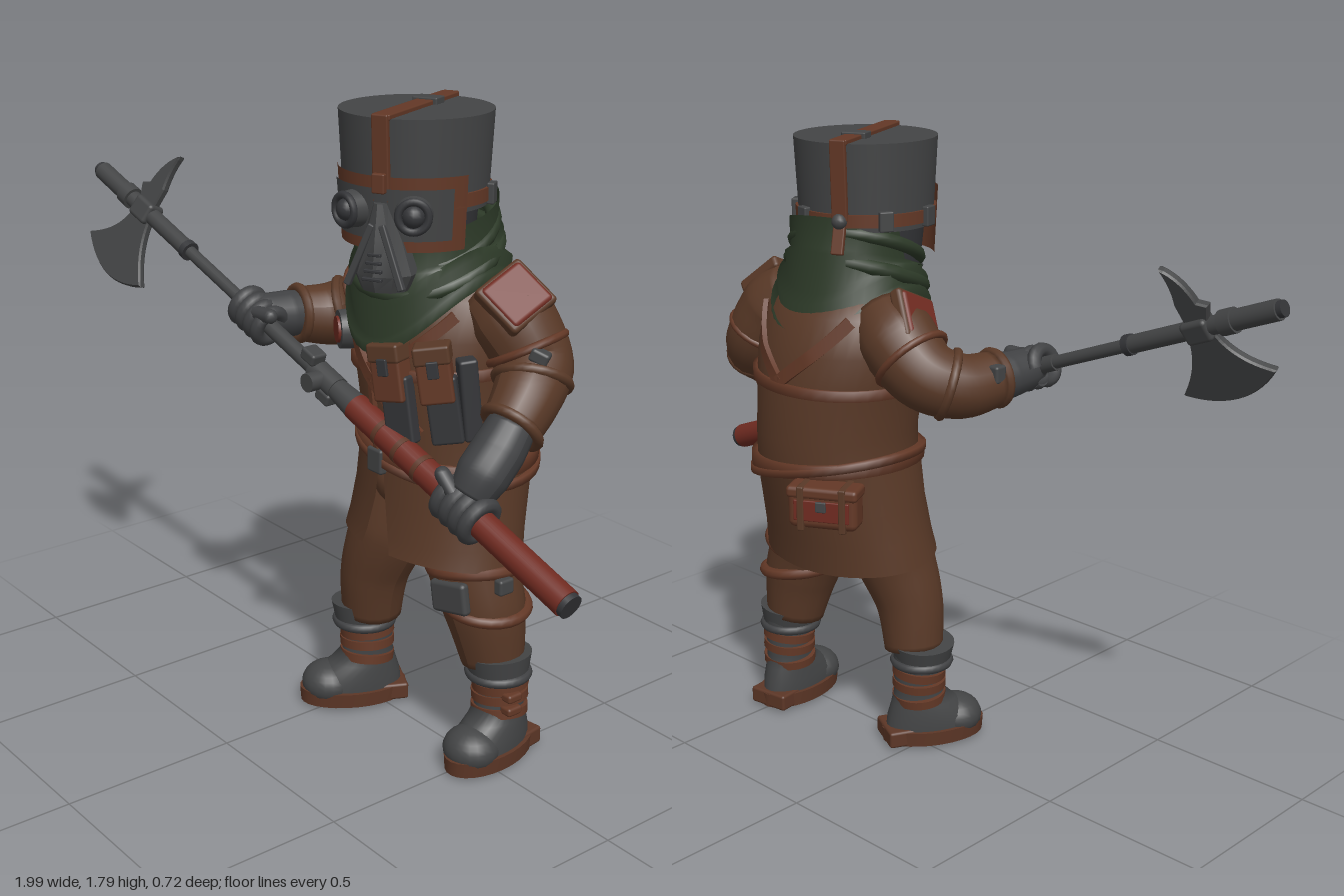
import * as THREE from 'three';
import { toCreasedNormals } from 'three/addons/utils/BufferGeometryUtils.js';
import { RoundedBoxGeometry } from 'three/addons/geometries/RoundedBoxGeometry.js';

const PI = Math.PI;
const V = (x, y, z) => new THREE.Vector3(x, y, z);
const paint = (name, color) => Object.assign(new THREE.MeshStandardMaterial({ color, side: THREE.DoubleSide }), { name });
const coat = paint('coat brown', 0x593927), leather = paint('leather', 0x633826), red = paint('faded red', 0x702b21);
const steel = paint('steel', 0x434445), dark = paint('dark steel', 0x343538), glove = paint('glove grey', 0x404143);
const green = paint('scarf green', 0x2d3a28), sole = paint('sole brown', 0x5c3626);

function add(parent, name, geo, mat, pos = [0, 0, 0], rot = [0, 0, 0]) {
  const m = new THREE.Mesh(geo, mat);
  m.name = name;
  m.position.set(...pos);
  m.rotation.set(...rot);
  parent.add(m);
  return m;
}
function group(parent, name, pos = [0, 0, 0], rot = [0, 0, 0]) {
  const g = new THREE.Group();
  g.name = name;
  g.position.set(...pos);
  g.rotation.set(...rot);
  parent.add(g);
  return g;
}
const box = (w, h, d, r = 0.008) => new RoundedBoxGeometry(w, h, d, 2, r);
const cyl = (a, b, h, n = 28) => new THREE.CylinderGeometry(a, b, h, n);

// Surface through a stack of point loops
function skin(rings, wrap = true) {
  const n = rings[0].length, pos = [], idx = [];
  rings.forEach(r => r.forEach(p => pos.push(p.x, p.y, p.z)));
  for (let i = 0; i < rings.length - 1; i++) for (let j = 0; j < (wrap ? n : n - 1); j++) {
    const k = (j + 1) % n, a = i * n + j, b = i * n + k;
    idx.push(a, b, b + n, a, b + n, a + n);
  }
  const g = new THREE.BufferGeometry();
  g.setAttribute('position', new THREE.Float32BufferAttribute(pos, 3));
  g.setIndex(idx);
  g.computeVertexNormals();
  return g;
}
// Horizontal oval loop [y, cx, cz, rx, rz]; angle 0 is the front, y may dip by a rule
function oval([y, cx, cz, rx, rz], n = 40, gap = 0, dip = () => 0) {
  return Array.from({ length: n }, (_, j) => {
    const t = gap ? gap + (2 * PI - 2 * gap) * j / (n - 1) : 2 * PI * j / n;
    return V(cx + rx * Math.sin(t), y - dip(t), cz + rz * Math.cos(t));
  });
}
// Tapered tube through [x, y, z, radius] points
function limb(pts, seg = 28, sides = 18) {
  const curve = new THREE.CatmullRomCurve3(pts.map(p => V(p[0], p[1], p[2])));
  const g = new THREE.TubeGeometry(curve, seg, 1, sides), a = g.attributes.position, p = V();
  for (let i = 0; i < a.count; i++) {
    const k = Math.floor(i / (sides + 1)), t = k / seg, c = curve.getPointAt(t);
    const f = curve.getUtoTmapping(t) * (pts.length - 1), q = Math.min(Math.floor(f), pts.length - 2);
    const r = k === 0 || k === seg ? 0.001 : THREE.MathUtils.lerp(pts[q][3], pts[q + 1][3], f - q);
    p.fromBufferAttribute(a, i).sub(c).multiplyScalar(r).add(c);
    a.setXYZ(i, p.x, p.y, p.z);
  }
  g.computeVertexNormals();
  return g;
}
// Torus ring round a direction
function hoop(parent, name, at, dir, r, tube, mat) {
  const m = add(parent, name, new THREE.TorusGeometry(r, tube, 8, 28), mat, at);
  m.quaternion.setFromUnitVectors(V(0, 0, 1), V(...dir).normalize());
}

const TORSO = [[0.84, .27, -.07, .24, .225], [0.95, .27, -.07, .228, .235], [1.1, .262, -.06, .243, .235],
  [1.2, .255, -.06, .255, .22], [1.3, .255, -.06, .232, .18], [1.37, .255, -.05, .16, .13], [1.4, .255, -.05, .01, .01]];
const SKIRT = [[0.55, .262, -.03, .288, .208], [0.64, .263, -.04, .276, .21], [0.74, .267, -.055, .26, .217], [0.87, .27, -.07, .246, .23]];
function slice(y) {
  const i = Math.max(0, TORSO.findIndex(r => r[0] >= y) - 1), a = TORSO[i], b = TORSO[i + 1];
  const f = (y - a[0]) / (b[0] - a[0]);
  return a.map((v, k) => v + (b[k] - v) * f);
}
function onTorso(t, y, out = 0) {
  const [, cx, cz, rx, rz] = slice(y);
  return V(cx + (rx + out) * Math.sin(t), y, cz + (rz + out) * Math.cos(t));
}
// Flat strap lying on the torso between two [angle, height] points
function strap(parent, name, [t0, y0], [t1, y1], w, mat) {
  const rings = [], n = 16;
  for (let i = 0; i <= n; i++) {
    const f = i / n, t = t0 + (t1 - t0) * f, y = y0 + (y1 - y0) * f;
    const T = onTorso(t + (t1 - t0) * .02, y + (y1 - y0) * .02).sub(onTorso(t, y)).normalize();
    const N = V(Math.sin(t), 0, Math.cos(t)), S = V().crossVectors(T, N).normalize();
    rings.push([[1, 0], [1, .014], [-1, .014], [-1, 0]].map(([s, o]) => onTorso(t, y, o).addScaledVector(S, s * w / 2)));
  }
  add(parent, name, toCreasedNormals(skin(rings), 0.6), mat);
}

function buildBody(g) {
  add(g, 'coatTorso', skin(TORSO.map(r => oval(r))), coat);
  const hem = t => -.045 * (.5 + .5 * Math.cos(t));
  add(g, 'coatSkirt', skin(SKIRT.map((r, i) => oval(r, 44, [.2, .16, .08, .02][i], t => i ? 0 : hem(t))), false), coat);
  const hip = add(g, 'trouserSeat', new THREE.SphereGeometry(1, 24, 16), coat, [.265, .74, -.05]);
  hip.scale.set(.21, .1, .17);
  const band = (name, y, h, o, tilt) => add(g, name, skin([[0, 0], [0, o], [h, o], [h, 0]].map(([dy, e]) => {
    const [, cx, cz, rx, rz] = slice(y);
    return oval([y + dy, cx, cz, rx + e, rz + e], 40, 0, t => tilt * Math.sin(t));
  })), leather);
  band('waistBelt', .845, .04, .018, .02);
  band('hipStrap', .842, .022, .022, .05);
  band('chestStrap', 1.09, .03, .012, -.01);
  // Crossing shoulder straps, front and back
  strap(g, 'frontStrap', [-.9, 1.27], [.55, .95], .035, leather);
  strap(g, 'frontStrap', [.9, 1.27], [.1, 1.1], .03, leather);
  strap(g, 'backStrap', [PI - .8, 1.3], [PI, 1.12], .035, leather);
  strap(g, 'backStrap', [PI + .8, 1.3], [PI, 1.12], .035, leather);
  strap(g, 'coatClosure', [-.05, 1.08], [-.05, .88], .015, leather);
  add(g, 'beltBuckle', box(.06, .07, .03), steel, [.26, .85, .165]);
  add(g, 'sheath', box(.04, .13, .025), steel, [.28, .61, .08], [0, 0, .3]);
  // Chest pouches and magazine plates
  [[.3, 1.12], [.75, 1.13]].forEach(([t, y]) => {
    const p = group(g, 'chestPouch', onTorso(t, y, .025).toArray(), [0, t, .15]);
    add(p, 'pouchBody', box(.09, .15, .06), leather);
    add(p, 'pouchFlap', box(.096, .05, .07), coat, [0, .055, 0]);
    add(p, 'pouchClasp', box(.03, .045, .01, .003), dark, [0, .02, .037]);
    add(p, 'magazine', box(.085, .18, .04), dark, [.01, -.1, -.005]);
  });
  add(g, 'sideMagazine', box(.05, .22, .05), dark, onTorso(1.1, 1.06, .02).toArray(), [0, 1.1, .1]);
  // Round gauge on the right breast
  const gauge = group(g, 'gauge', onTorso(-.75, 1.16, .02).toArray(), [0, -.45, 0]);
  add(gauge, 'gaugeCase', cyl(.052, .056, .05), steel, [0, 0, 0], [PI / 2, 0, 0]);
  add(gauge, 'gaugeFace', cyl(.036, .036, .008), red, [0, 0, .028], [PI / 2, 0, 0]);
  // Rear pouch
  const pouch = group(g, 'rearPouch', [.095, .795, -.282], [0, PI + .5, 0]);
  add(pouch, 'pouchBody', box(.2, .12, .08, .02), leather);
  add(pouch, 'pouchFlap', box(.206, .035, .088, .012), leather, [0, .045, 0]);
  add(pouch, 'pouchPanel', box(.16, .06, .008, .003), red, [0, -.005, .04]);
  [-.06, .06].forEach(x => add(pouch, 'pouchStrap', box(.02, .128, .094, .004), coat, [x, 0, 0]));
  add(pouch, 'pouchClasp', box(.03, .03, .01, .003), steel, [0, .01, .045]);
  // Folded scarf, dipping to points at front and back
  const low = t => (Math.cos(t) > 0 ? .185 : .12) * Math.cos(t - .1) ** 2, mid = t => .1 * (.5 + .5 * Math.cos(t - .3));
  add(g, 'scarf', skin([[1.345, .213, .235, low], [1.375, .214, .237, low], [1.385, .197, .215, low], [1.42, .203, .222, t => low(t) * .75],
    [1.435, .183, .195, t => low(t) * .65], [1.475, .188, .198, mid], [1.485, .174, .182, mid], [1.57, .178, .18, mid]]
    .map(([y, rx, rz, d], i) => oval([y, .258, -.022 + Math.min(i, 5) * .003, rx, rz], 44, 0, d))), green);
  hoop(g, 'scarfFold', [.256, 1.385, 0], [.08, 1, .4], .19, .022, green);
  hoop(g, 'scarfFold', [.25, 1.455, -.005], [.2, 1, .42], .176, .02, green);
}

function buildHead(g) {
  const h = group(g, 'head', [.24, 0, .025], [0, .43, 0]);
  add(h, 'hood', cyl(.17, .14, .28), dark, [0, 1.45, 0]);
  add(h, 'helmet', cyl(.2, .187, .24, 48), steel, [0, 1.648, 0]);
  add(h, 'helmetBand', cyl(.197, .197, .035, 48), leather, [0, 1.56, 0]);
  add(h, 'crownStrap', box(.05, .015, .41, .004), leather, [0, 1.772, 0]);
  [-1, 1].forEach(s => add(h, 'dropStrap', box(.045, .22, .016, .004), leather, [0, 1.67, s * .2], [s * .05, 0, 0]));
  add(h, 'crownBuckle', box(.07, .02, .05, .004), steel, [0, 1.775, -.07]);
  add(h, 'browBuckle', box(.035, .05, .02, .004), leather, [0, 1.61, .21]);
  add(h, 'strapTail', box(.035, .1, .016, .004), leather, [0, 1.52, -.205], [.3, 0, 0]);
  add(h, 'rearStud', new THREE.SphereGeometry(.022, 12, 8), steel, [0, 1.56, -.2]);
  [-1.75, 1.75, 2.5, -2.5].forEach(t => add(h, 'bandBuckle', box(.04, .055, .02, .004), steel, [.2 * Math.sin(t), 1.56, .2 * Math.cos(t)], [0, t, 0]));
  // Face mask: leather border, steel face, goggles and snout
  const shell = (r, ht, a) => new THREE.CylinderGeometry(r, r * .95, ht, 24, 1, true, -a, 2 * a);
  add(h, 'maskBorder', shell(.201, .19, 1.15), leather, [0, 1.53, 0]);
  add(h, 'maskFace', shell(.206, .132, .93), steel, [0, 1.53, 0]);
  [-1, 1].forEach(s => {
    const e = group(h, 'goggle', [s * .083, 1.535, .185], [0, s * .42, 0]);
    add(e, 'goggleTube', cyl(.045, .05, .05), steel, [0, 0, .005], [PI / 2, 0, 0]);
    add(e, 'goggleRim', new THREE.TorusGeometry(.038, .01, 8, 28), dark, [0, 0, .03]);
    add(e, 'goggleLens', new THREE.SphereGeometry(.03, 16, 10), dark, [0, 0, .02]);
  });
  const snout = [[1.335, 0, .17, .01, .01], [1.336, 0, .17, .065, .06], [1.38, 0, .165, .085, .082], [1.47, 0, .17, .055, .065], [1.56, 0, .19, .02, .03], [1.561, 0, .19, .001, .001]];
  add(h, 'snout', toCreasedNormals(skin(snout.map(r => oval(r, 10))), .5), steel);
  for (let i = 0; i < 4; i++) add(h, 'vent', box(.055 - i * .006, .008, .012, .002), dark, [0, 1.375 + i * .02, .247 - i * .004]);
  [-1, 1].forEach(s => add(h, 'snoutStrut', box(.018, .17, .018, .004), glove, [s * .045, 1.43, .228], [-.1, 0, s * .38]));
}

function buildArms(g) {
  add(g, 'leftSleeve', limb([[.42, 1.32, -.06, .09], [.495, 1.255, -.08, .115], [.57, 1.14, -.1, .1], [.615, 1.08, -.03, .09], [.637, 1.01, .05, .077]]), coat);
  add(g, 'rightSleeve', limb([[.1, 1.31, -.06, .085], [.015, 1.245, -.08, .113], [-.085, 1.16, -.07, .1], [-.15, 1.13, .0, .09], [-.19, 1.14, .11, .075]]), coat);
  add(g, 'leftGlove', limb([[.635, 1.03, .03, .063], [.637, .97, .08, .07], [.635, .915, .13, .07], [.625, .86, .165, .055]]), glove);
  add(g, 'rightGlove', limb([[-.185, 1.14, .06, .062], [-.195, 1.142, .13, .066], [-.205, 1.148, .2, .06], [-.205, 1.148, .24, .045]]), glove);
  hoop(g, 'leftCuff', [.635, 1.02, .035], [.1, -.6, .75], .077, .014, coat);
  hoop(g, 'rightCuff', [-.185, 1.14, .095], [-.2, .05, 1], .072, .014, coat);
  hoop(g, 'leftArmStrap', [.545, 1.18, -.095], [.5, -1, -.15], .104, .011, leather);
  hoop(g, 'leftSleeveFold', [.594, 1.11, -.07], [.35, -.8, .5], .094, .014, coat);
  hoop(g, 'rightArmStrap', [-.04, 1.2, -.08], [-1, -.9, .05], .106, .011, leather);
  hoop(g, 'rightSleeveFold', [-.13, 1.137, -.03], [-.7, -.3, .7], .09, .014, coat);
  add(g, 'armBuckle', box(.05, .035, .04), steel, [.64, 1.19, -.05], [0, .6, -.4]);
  add(g, 'armBuckle', box(.035, .05, .04), steel, [-.235, 1.17, .05]);
  // Shoulder pads, tipped toward the front
  [[.52, 1.298, .14, -.75], [0, 1.285, .13, .95]].forEach(([x, y, d, roll]) => {
    const p = group(g, 'shoulderPad', [x, y, -.06], [.42, 0, roll]);
    add(p, 'padBase', box(.15, .04, d + .02, .012), coat, [0, .034, 0]);
    add(p, 'padFace', box(.132, .03, d, .012), red, [0, .046, 0]);
  });
}

function buildLegs(g) {
  const legs = [
    ['left', [[.38, .74, -.05, .12], [.42, .57, -.035, .128], [.465, .43, -.045, .113], [.49, .27, -.06, .085]], [.507, 0, -.045], .14],
    ['right', [[.15, .74, -.04, .12], [.115, .57, .0, .12], [.07, .43, .02, .1], [.045, .27, .015, .085]], [.014, 0, .042], -.46]];
  for (const [side, path, foot, yaw] of legs) {
    add(g, side + 'Trouser', limb(path), coat);
    const b = group(g, side + 'Boot', foot, [0, yaw, 0]);
    add(b, 'sole', toCreasedNormals(skin([[0, 0, .015, .01, .01], [.002, 0, .015, .086, .155], [.045, 0, .015, .089, .158], [.046, 0, .015, .01, .01]].map(r => oval(r, 28))), .6), sole);
    add(b, 'heel', box(.13, .05, .1), sole, [0, .027, -.09]);
    add(b, 'upper', skin([[.04, 0, .015, .078, .145], [.08, 0, .01, .078, .135], [.12, 0, -.015, .069, .098], [.16, 0, -.03, .064, .073], [.3, 0, -.025, .076, .08]].map(r => oval(r, 28))), steel);
    add(b, 'toeCap', new THREE.SphereGeometry(1, 20, 14), steel, [0, .055, .088]).scale.set(.08, .062, .078);
    [.14, .185, .22].forEach((y, i) => add(b, 'ankleStrap', cyl(.079, .079, .025), leather, [0, y, -.028], [.08 * (i - 1), 0, .08]));
    add(b, 'gaiter', cyl(.094, .084, .05), steel, [0, .285, -.018], [0, 0, .08]);
    add(b, 'gaiterFold', new THREE.TorusGeometry(.08, .014, 8, 28), glove, [0, .25, -.02], [PI / 2, 0, 0]);
  }
  // Straps, plate and strap ends on the left leg
  [.165, .205].forEach(y => add(g, 'strapEnd', box(.04, .025, .05), leather, [.575, y, -.05]));
  hoop(g, 'thighStrap', [.43, .545, -.04], [.2, -1, .1], .122, .017, leather);
  hoop(g, 'kneeStrap', [.46, .45, -.05], [-.15, -1, 0], .114, .017, leather);
  add(g, 'kneePlate', box(.12, .09, .03, .012), steel, [.465, .5, .08], [0, .15, .15]);
  add(g, 'thighBuckle', box(.03, .045, .05), steel, [.565, .54, -.02]);
}

function buildPolearm(g) {
  const p = group(g, 'polearm', [0, 1.068, .205]);
  p.rotation.set(0, .05, -.364, 'YZX');
  const rod = (name, a, b, r, mat, r2 = r) => add(p, name, cyl(r2, r, b - a, 20), mat, [(a + b) / 2, 0, 0], [0, 0, -PI / 2]);
  rod('shaft', -1, .22, .018, steel);
  rod('tipSocket', -1.04, -.9, .028, steel);
  rod('tipPlug', -1.055, -1.03, .022, dark);
  rod('tipCollar', -.91, -.87, .034, steel);
  rod('headSleeve', -.9, -.57, .025, steel);
  rod('sleeveCollar', -.585, -.565, .029, dark);
  rod('midSleeve', -.32, .06, .023, steel);
  rod('lockCollar', .04, .14, .034, steel);
  rod('gripFerrule', .13, .22, .03, steel, .037);
  rod('redGrip', .22, 1.04, .038, red);
  rod('buttCap', 1.035, 1.055, .034, dark);
  [.33, .41, .49].forEach(s => rod('gripBand', s, s + .015, .0395, sole));
  [[.03, .04], [.12, -.03]].forEach(([s, y]) => add(p, 'lockLug', box(.055, .035, .05), steel, [s, y, .01]));
  add(p, 'lockBolt', cyl(.026, .026, .06), steel, [.085, 0, .035], [PI / 2, 0, 0]);
  // Axe blade with a curved back spike
  const head = group(p, 'axeHead', [-.8, 0, 0], [-.45, 0, 0]);
  const blade = new THREE.Shape();
  blade.moveTo(-.035, 0);
  blade.quadraticCurveTo(-.04, -.1, -.142, -.165);
  blade.quadraticCurveTo(0, -.27, .142, -.18);
  blade.quadraticCurveTo(.05, -.1, .035, 0);
  const spike = new THREE.Shape();
  spike.moveTo(-.025, 0);
  spike.lineTo(-.06, .06);
  spike.lineTo(-.035, .075);
  spike.quadraticCurveTo(-.03, .15, .01, .19);
  spike.quadraticCurveTo(.004, .14, .022, .085);
  spike.lineTo(.025, 0);
  [['blade', blade], ['spike', spike]].forEach(([n, s]) =>
    add(head, n, new THREE.ExtrudeGeometry(s, { depth: .014, bevelSize: .004, bevelThickness: .006, bevelSegments: 1, curveSegments: 14 }), steel, [0, 0, -.007]));
  add(head, 'axeSocket', box(.08, .065, .06, .012), steel);
  // Fingers and thumbs curled round the shaft
  [[-.225, .043, 1], [.665, .049, -1]].forEach(([s, r, d]) => {
    for (let i = 0; i < 4; i++) add(p, 'finger', new THREE.TorusGeometry(r, .02, 10, 20, 5.2), glove, [s + (i - 1.5) * .035, 0, 0], [0, PI / 2, 0]);
    add(p, 'thumb', new THREE.CapsuleGeometry(.021, .06, 4, 10), glove, [s + d * .05, r, .03], [0, 0, PI / 2 + .4 * d]);
  });
}

export function createModel() {
  const g = new THREE.Group();
  g.name = 'armouredAxeman';
  [buildBody, buildHead, buildArms, buildLegs, buildPolearm].forEach(build => build(g));
  return g;
}
